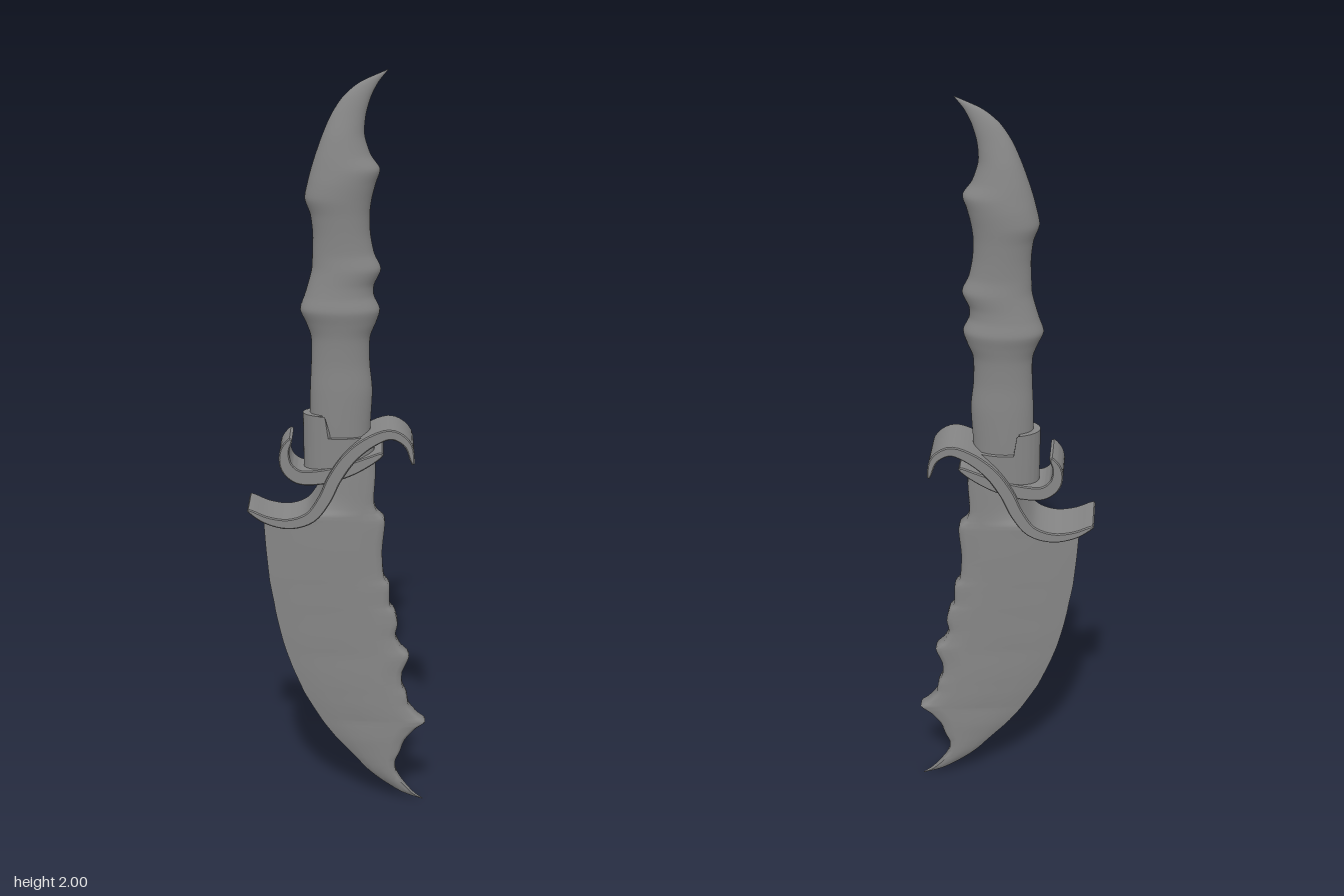
import * as THREE from 'three';
import { toCreasedNormals } from 'three/addons/utils/BufferGeometryUtils.js';

const material = new THREE.MeshStandardMaterial({ color: 0x868686, side: THREE.DoubleSide });

// Joins equal-sized closed rings (counter-clockwise from above, bottom to top) and caps both ends.
function loft(rings, crease) {
  const n = rings[0].length, pos = rings.flat(2), index = [];
  for (let i = 0; i < rings.length - 1; i++) {
    for (let j = 0; j < n; j++) {
      const k = (j + 1) % n, a = i * n + j, b = i * n + k;
      index.push(a, b, b + n, a, b + n, a + n);
    }
  }
  const top = (rings.length - 1) * n;
  for (let j = 1; j < n - 1; j++) index.push(0, j + 1, j, top, top + j, top + j + 1);
  const geo = new THREE.BufferGeometry();
  geo.setAttribute('position', new THREE.Float32BufferAttribute(pos, 3));
  geo.setIndex(index);
  if (crease) return toCreasedNormals(geo, crease);
  geo.computeVertexNormals();
  return geo;
}

// Smoothly resamples rows of [y, left x, right x, half depth].
function smoothRows(rows, steps) {
  const curve = (f) => new THREE.CatmullRomCurve3(rows.map(f), false, 'catmullrom', 0.4);
  const sides = curve(([, l, r, d]) => new THREE.Vector3(l, r, d));
  const heights = curve(([y]) => new THREE.Vector3(y, 0, 0));
  const count = (rows.length - 1) * steps;
  return Array.from({ length: count + 1 }, (_, i) => {
    const s = sides.getPoint(i / count);
    return [heights.getPoint(i / count).x, s.x, s.y, Math.max(s.z, 0.001)];
  });
}

function ellipseRing(cx, rx, rz, yAt, n = 40) {
  return Array.from({ length: n }, (_, j) => {
    const a = (j / n) * Math.PI * 2, x = cx + rx * Math.cos(a);
    return [x, yAt(x), -rz * Math.sin(a)];
  });
}

// Curved band that tapers toward both ends, extruded across z.
function band(points, thickness, width) {
  const curve = new THREE.CatmullRomCurve3(points.map(([x, y]) => new THREE.Vector3(x, y, 0)));
  const upper = [], lower = [], N = 48;
  for (let i = 0; i <= N; i++) {
    const t = i / N, p = curve.getPointAt(t), d = curve.getTangentAt(t);
    const h = thickness * (0.2 + 0.8 * Math.max(0, Math.sin(Math.PI * t)) ** 0.6) / 2;
    upper.push(new THREE.Vector2(p.x - d.y * h, p.y + d.x * h));
    lower.unshift(new THREE.Vector2(p.x + d.y * h, p.y - d.x * h));
  }
  const bevel = 0.003;
  const geo = new THREE.ExtrudeGeometry(new THREE.Shape([...lower, ...upper]), {
    depth: width - 2 * bevel, bevelSize: bevel, bevelThickness: bevel, bevelOffset: -bevel, bevelSegments: 1,
  });
  geo.translate(0, 0, -width / 2 + bevel);
  return toCreasedNormals(geo, 0.6);
}

export function createModel() {
  const group = new THREE.Group();
  const add = (name, geo) => {
    const mesh = new THREE.Mesh(geo, material);
    mesh.name = name;
    group.add(mesh);
  };

  // Knotted grip ending in a curved claw
  const gripRows = [
    [0.98, -0.07, 0.08, 0.045], [1.08, -0.075, 0.082, 0.046], [1.18, -0.075, 0.087, 0.046],
    [1.25, -0.072, 0.08, 0.044], [1.32, -0.072, 0.08, 0.047], [1.36, -0.085, 0.095, 0.053],
    [1.395, -0.1, 0.105, 0.059], [1.43, -0.089, 0.09, 0.053], [1.46, -0.08, 0.09, 0.05],
    [1.5, -0.07, 0.107, 0.049], [1.54, -0.068, 0.09, 0.045], [1.59, -0.067, 0.08, 0.046],
    [1.64, -0.073, 0.078, 0.049], [1.68, -0.087, 0.083, 0.053], [1.72, -0.08, 0.093, 0.054],
    [1.755, -0.071, 0.103, 0.052], [1.79, -0.06, 0.08, 0.046], [1.84, -0.042, 0.064, 0.037],
    [1.89, -0.02, 0.067, 0.026], [1.935, 0.01, 0.08, 0.017], [1.97, 0.052, 0.098, 0.009],
    [2.0, 0.119, 0.122, 0.001],
  ];
  add('grip', loft(smoothRows(gripRows, 5).map(([y, l, r, d]) =>
    ellipseRing((l + r) / 2, (r - l) / 2, d, () => y))));

  // Broad blade with a ragged thick spine and a keen curved edge
  const bladeRows = [
    [0, 0.23, 0.233, 0.002], [0.02, 0.175, 0.205, 0.008], [0.06, 0.115, 0.172, 0.014],
    [0.09, 0.08, 0.157, 0.017], [0.12, 0.053, 0.155, 0.019], [0.15, 0.026, 0.168, 0.021],
    [0.185, -0.006, 0.18, 0.023], [0.22, -0.033, 0.21, 0.024], [0.24, -0.047, 0.236, 0.0245],
    [0.258, -0.058, 0.215, 0.025], [0.29, -0.077, 0.19, 0.0255], [0.32, -0.094, 0.185, 0.0257],
    [0.35, -0.107, 0.172, 0.026], [0.39, -0.124, 0.172, 0.026], [0.435, -0.14, 0.19, 0.026],
    [0.46, -0.148, 0.168, 0.026], [0.495, -0.157, 0.152, 0.0263], [0.53, -0.165, 0.158, 0.0265],
    [0.565, -0.172, 0.15, 0.0267], [0.585, -0.175, 0.136, 0.0268], [0.64, -0.185, 0.135, 0.027],
    [0.665, -0.188, 0.12, 0.027], [0.74, -0.195, 0.115, 0.0275], [0.815, -0.2, 0.122, 0.0275],
    [0.835, -0.2, 0.116, 0.027], [0.85, -0.08, 0.1, 0.026], [0.88, -0.035, 0.092, 0.025],
    [0.95, -0.01, 0.096, 0.025], [1.01, 0.02, 0.095, 0.025],
  ];
  // Stations from spine (0) to edge (1) with the rounding of the spine
  const across = [[0, 0.6], [0.02, 0.85], [0.06, 1], [0.2, 1], [0.4, 1], [0.6, 1], [0.75, 1], [0.9, 1], [1, 1]];
  add('blade', loft(smoothRows(bladeRows, 3).map(([y, l, r, d]) => {
    const bevel = Math.min(0.2, 0.6 * (r - l));
    const half = (u, k) => d * k * (0.08 + 0.92 * Math.min(1, (1 - u) * (r - l) / bevel) ** 0.7);
    const side = (s) => across.map(([u, k]) => [r + (l - r) * u, y, s * half(u, k)]);
    return [...side(-1), ...side(1).reverse()];
  }), 0.9));

  // Wide S-shaped guard
  add('guard', band([
    [-0.238, 0.87], [-0.19, 0.843], [-0.13, 0.832], [-0.075, 0.85], [-0.037, 0.9], [-0.01, 0.958],
    [0.03, 1.016], [0.085, 1.06], [0.137, 1.078], [0.178, 1.053], [0.194, 0.998],
  ], 0.036, 0.14));

  // Narrower curl under the grip
  add('guardCurl', band([
    [-0.124, 1.062], [-0.141, 1.027], [-0.136, 0.985], [-0.106, 0.958], [-0.05, 0.957],
    [0.02, 0.975], [0.08, 1.002], [0.115, 1.022],
  ], 0.04, 0.112));

  // Stepped collar around the foot of the grip
  const bottom = (x) => 0.965 + Math.max(0, x) * 0.45;
  const rim = (x) => (x < -0.035 ? 1.12 : 1.062);
  add('collar', loft([
    ellipseRing(0, 0.092, 0.055, bottom, 64),
    ellipseRing(0, 0.094, 0.056, rim, 64),
    ellipseRing(0, 0.07, 0.042, rim, 64),
  ], 0.6));

  return group;
}
